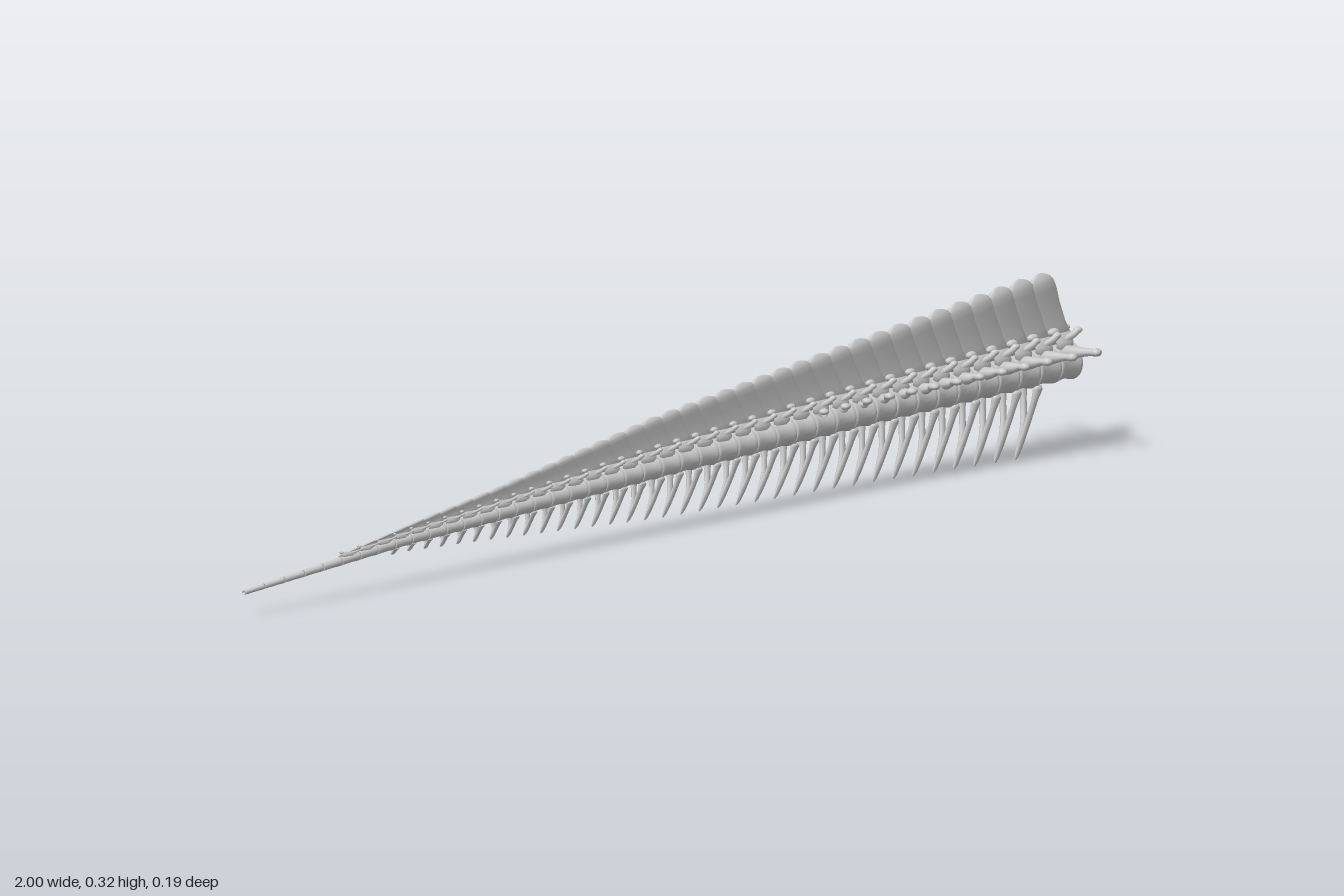
import * as THREE from 'three';

const bone = new THREE.MeshStandardMaterial({ color: 0xcccccc });

// Piecewise-linear lookup of a measure along the tail
const along = (table) => (x) => {
  if (x <= table[0][0]) return table[0][1];
  for (let i = 1; i < table.length; i++) {
    const [x0, v0] = table[i - 1], [x1, v1] = table[i];
    if (x <= x1) return v0 + (v1 - v0) * (x - x0) / (x1 - x0);
  }
  return table[table.length - 1][1];
};
const axisY = along([[-1, 0.047], [-0.6, 0.082], [-0.4, 0.094], [0, 0.12], [0.5, 0.144], [1, 0.16]]);
const radius = along([[-1, 0.004], [-0.6, 0.010], [-0.4, 0.0135], [0, 0.021], [0.5, 0.028], [1, 0.0345]]);
const spineTop = along([[-0.8, 0.076], [-0.6, 0.11], [-0.4, 0.14], [0, 0.208], [0.5, 0.27], [0.9, 0.317], [1, 0.322]]);
const chevronTip = along([[-0.7, 0.06], [-0.6, 0.061], [-0.4, 0.052], [0, 0.03], [0.5, 0.017], [0.9, 0.003]]);
const wing = along([[0.3, 0], [0.42, 0.027], [0.5, 0.035], [0.7, 0.06], [0.9, 0.081], [0.97, 0.097]]);
const pitch = along([[-1, 0.05], [-0.6, 0.04], [-0.2, 0.043], [0.5, 0.048], [1, 0.05]]);

// Closed skin over elliptical rings [x, y, z, halfX, halfZ], listed upward; tilt raises +x side
function loft(rings, tilt = 0, n = 10) {
  const first = rings[0], last = rings[rings.length - 1];
  const all = [[...first.slice(0, 3), 0, 0], ...rings, [...last.slice(0, 3), 0, 0]];
  const pos = [], idx = [];
  all.forEach(([x, y, z, a, b], k) => {
    for (let i = 0; i < n; i++) {
      const t = (i / n) * Math.PI * 2, dx = a * Math.cos(t);
      pos.push(x + dx, y + tilt * dx, z + b * Math.sin(t));
      if (k === all.length - 1) continue;
      const p = k * n + i, q = k * n + (i + 1) % n;
      idx.push(p, p + n, q, q, p + n, q + n);
    }
  });
  const g = new THREE.BufferGeometry();
  g.setAttribute('position', new THREE.Float32BufferAttribute(pos, 3));
  g.setIndex(idx);
  g.computeVertexNormals();
  return g;
}

function add(group, name, geometry) {
  const m = new THREE.Mesh(geometry, bone);
  m.name = name;
  group.add(m);
  return m;
}

// Spool-shaped body with dished ends
function centrum(group, x0, x1) {
  const r = radius(x0), y0 = axisY(x0), y1 = axisY(x1);
  const len = Math.hypot(x0 - x1, y0 - y1), h = len / 2, r1 = radius(x1);
  const profile = [[0, -0.86 * h], [0.6 * r1, -0.9 * h], [0.9 * r1, -h], [r1, -0.93 * h], [0.97 * r1, -0.75 * h],
    [0.88 * r, -0.3 * h], [0.87 * r, 0.2 * h], [0.97 * r, 0.72 * h], [r, 0.92 * h], [0.9 * r, h],
    [0.6 * r, 0.9 * h], [0, 0.84 * h]].map(([a, b]) => new THREE.Vector2(a, b));
  const m = add(group, 'centrum', new THREE.LatheGeometry(profile, 20));
  m.position.set((x0 + x1) / 2, (y0 + y1) / 2, 0);
  m.rotation.z = Math.atan2(y0 - y1, x0 - x1) - Math.PI / 2;
}

// Arch over the canal, its joint knobs, and the backswept spine blade
function archAndSpine(group, x0, p) {
  const r = radius(x0), cx = x0 - p / 2, y = axisY(cx), top = spineTop(x0 - 0.04);
  const base = y + 1.2 * r, h = top - base;
  for (const s of [1, -1]) {
    add(group, 'archWall', loft([
      [cx, y + 0.7 * r, s * 0.42 * r, 0.44 * p, 0.17 * r],
      [cx, y + 1.1 * r, s * 0.38 * r, 0.4 * p, 0.17 * r],
      [cx, y + 1.5 * r, s * 0.12 * r, 0.46 * p, 0.22 * r]]));
    const path = new THREE.CatmullRomCurve3([
      new THREE.Vector3(cx, y + 1.15 * r, s * 0.34 * r),
      new THREE.Vector3(x0 - 0.15 * p, y + 1.35 * r, s * 0.43 * r),
      new THREE.Vector3(x0 + 0.06 * p, y + 1.54 * r, s * 0.46 * r)]);
    add(group, 'frontJointProcess', new THREE.TubeGeometry(path, 5, 0.18 * r, 8));
    const knob = add(group, 'frontJointKnob', new THREE.SphereGeometry(0.2 * r, 10, 8));
    knob.position.set(x0 + 0.08 * p, y + 1.56 * r, s * 0.44 * r);
    knob.scale.set(1.3, 0.85, 1.15);
    const rear = add(group, 'rearJointKnob', new THREE.SphereGeometry(0.2 * r, 10, 8));
    rear.position.set(x0 - 0.93 * p, y + 1.6 * r, s * 0.22 * r);
    rear.scale.set(1.9, 1.1, 1.1);
  }
  // The blade's foot runs forward, its top is a rounded hump
  const b = 0.3 * r, sweep = Math.min(0.6 * h, 1.05 * p);
  const ring = (t, a, w) => [cx - sweep * t, base + h * t, 0, a * p, w * b];
  add(group, 'neuralSpine', loft([ring(0, 0.55, 0.85), ring(0.2, 0.5, 0.65), ring(0.5, 0.53, 0.7),
    ring(0.74, 0.6, 0.95), ring(0.85, 0.58, 1), ring(0.92, 0.47, 0.75), ring(0.97, 0.28, 0.38),
    ring(0.995, 0.1, 0.1)], 0.18, 14));
}

// Sideways processes with knobbed ends
function transverse(group, x0, p) {
  const r = radius(x0), len = wing(x0), cx = x0 - p / 2, y = axisY(cx);
  if (len < 0.7 * r) return;
  const tip = Math.max(len, r * 0.95), start = 0.5 * r, mid = (start + tip) / 2;
  for (const s of [1, -1]) {
    const ring = (d, rise, a, b) => [0, d, -s * rise * r, a * p, b * r];
    const m = add(group, 'transverseProcess', loft([
      ring(start, 0.5, 0.3, 0.42), ring(mid, 0.72, 0.18, 0.24), ring(tip - 0.016, 0.82, 0.16, 0.17),
      ring(tip - 0.009, 0.85, 0.22, 0.22), ring(tip - 0.003, 0.85, 0.18, 0.18), ring(tip, 0.85, 0.07, 0.07)]));
    m.rotation.x = s * Math.PI / 2;
    m.position.set(cx, y, 0);
  }
}

// Forked bone below a joint: two arms meeting in a backswept point
function chevron(group, x, p) {
  const r = radius(x), head = axisY(x) - 0.8 * r, tip = chevronTip(x), h = head - tip;
  const sweep = Math.min(0.036, 0.4 * h);
  for (const s of [1, -1]) {
    const ring = (t, back, z, a, b) => [x + 0.1 * p - back * sweep, head - h * t, s * z * r, a * p, b * r];
    add(group, 'chevronArm', loft([ring(1, 1, 0, 0.03, 0.03), ring(0.94, 0.9, 0.02, 0.1, 0.06),
      ring(0.78, 0.66, 0.04, 0.14, 0.1), ring(0.6, 0.42, 0.08, 0.14, 0.14), ring(0.45, 0.26, 0.18, 0.13, 0.15),
      ring(0.2, 0.1, 0.42, 0.13, 0.16), ring(0.05, 0.03, 0.56, 0.2, 0.2), ring(0, 0, 0.56, 0.15, 0.14)]));
  }
}

export function createModel() {
  const tail = new THREE.Group();
  tail.name = 'tailSkeleton';

  // Joint positions from the hip end to the tip, stretched to fit exactly
  const front = 0.985, joints = [front];
  while (joints[joints.length - 1] > -0.98) joints.push(joints[joints.length - 1] - pitch(joints[joints.length - 1]));
  const fit = (front + 1) / (front - joints[joints.length - 1]);
  const xs = joints.map((x) => front - (front - x) * fit);

  for (let i = 0; i < xs.length - 1; i++) {
    const x0 = xs[i], p = x0 - xs[i + 1];
    const vertebra = new THREE.Group();
    vertebra.name = 'vertebra' + (i + 1);
    centrum(vertebra, x0, xs[i + 1]);
    if (x0 > -0.74) archAndSpine(vertebra, x0, p);
    transverse(vertebra, x0, p);
    if (i > 1 && x0 > -0.66) chevron(vertebra, x0, p);
    tail.add(vertebra);
  }
  return tail;
}
